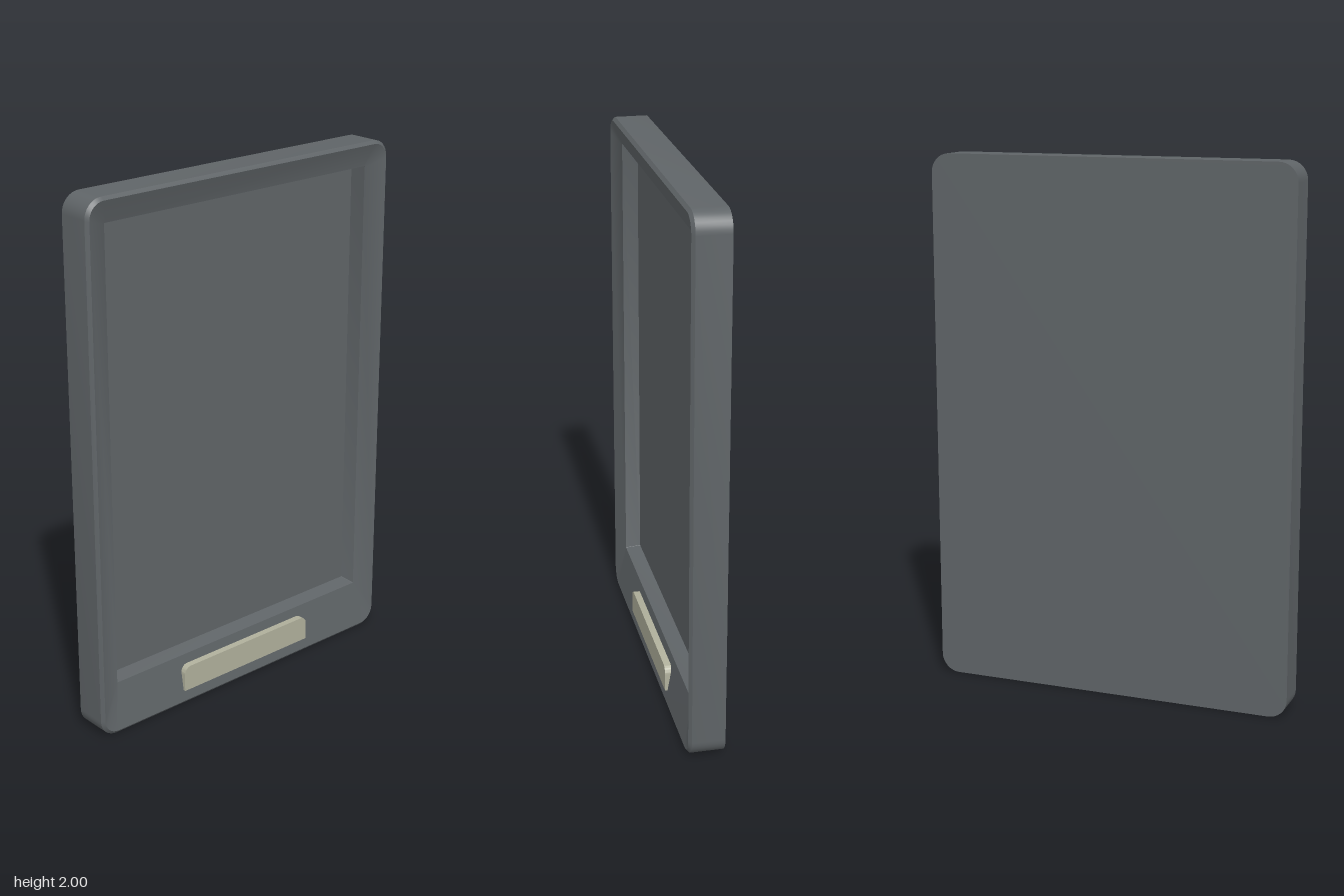
import * as THREE from 'three';
import { toCreasedNormals } from 'three/addons/utils/BufferGeometryUtils.js';

const CORNER_STEPS = 8;

// Rounded rectangle outline, counter-clockwise seen from the front
function outline(halfWidth, bottom, top, radius) {
  const points = [];
  const corners = [
    [halfWidth - radius, bottom + radius, -Math.PI / 2],
    [halfWidth - radius, top - radius, 0],
    [-halfWidth + radius, top - radius, Math.PI / 2],
    [-halfWidth + radius, bottom + radius, Math.PI],
  ];
  for (const [cx, cy, start] of corners) {
    for (let i = 0; i <= CORNER_STEPS; i++) {
      const a = start + (i / CORNER_STEPS) * Math.PI / 2;
      points.push(new THREE.Vector2(cx + radius * Math.cos(a), cy + radius * Math.sin(a)));
    }
  }
  return points;
}

// Skin a surface through a series of matching outlines, each at its own depth
function loft(rings) {
  const positions = [];
  const index = [];
  const n = rings[0].points.length;
  for (const { points, z } of rings) for (const p of points) positions.push(p.x, p.y, z);
  for (let r = 0; r < rings.length - 1; r++) {
    for (let i = 0; i < n; i++) {
      const a = r * n + i;
      const b = r * n + (i + 1) % n;
      index.push(a, b, b + n, a, b + n, a + n);
    }
  }
  const geometry = new THREE.BufferGeometry();
  geometry.setAttribute('position', new THREE.Float32BufferAttribute(positions, 3));
  geometry.setIndex(index);
  return toCreasedNormals(geometry, Math.PI / 7);
}

export function createModel() {
  const group = new THREE.Group();
  const bodyMaterial = new THREE.MeshStandardMaterial({ color: 0x5f6467 });
  const buttonMaterial = new THREE.MeshStandardMaterial({ color: 0xb0b09c });

  const add = (name, geometry, material) => {
    const mesh = new THREE.Mesh(geometry, material);
    mesh.name = name;
    group.add(mesh);
    return mesh;
  };

  // Casing: side wall, bevelled rim, frame sloping inward, recess wall
  const back = { points: outline(0.695, 0, 2, 0.07), z: -0.067 };
  const shoulder = { points: back.points, z: 0.055 };
  const rim = { points: outline(0.683, 0.012, 1.988, 0.06), z: 0.066 };
  const windowEdge = { points: outline(0.602, 0.19, 1.904, 0.002), z: 0.036 };
  const screenEdge = { points: outline(0.592, 0.2, 1.894, 0.002), z: -0.022 };
  add('casing', loft([back, shoulder, rim, windowEdge, screenEdge]), bodyMaterial);

  // Flat back cover
  const cover = add('backCover', new THREE.ShapeGeometry(new THREE.Shape(back.points)), bodyMaterial);
  cover.rotation.y = Math.PI;
  cover.position.z = back.z;

  // Screen at the bottom of the recess
  const screen = add('screen', new THREE.ShapeGeometry(new THREE.Shape(screenEdge.points)), bodyMaterial);
  screen.position.z = screenEdge.z;

  // Wide button below the screen, rounded at its upper corners only
  const w = 0.31, low = 0.055, high = 0.153, r = 0.03;
  const buttonShape = new THREE.Shape();
  buttonShape.moveTo(-w, low);
  buttonShape.lineTo(w, low);
  buttonShape.lineTo(w, high - r);
  buttonShape.absarc(w - r, high - r, r, 0, Math.PI / 2);
  buttonShape.absarc(-w + r, high - r, r, Math.PI / 2, Math.PI);
  buttonShape.closePath();
  const buttonGeometry = new THREE.ExtrudeGeometry(buttonShape, { depth: 0.047, bevelEnabled: false, curveSegments: 8 });
  const button = add('button', toCreasedNormals(buttonGeometry, Math.PI / 6), buttonMaterial);
  button.position.z = 0.021;

  return group;
}
